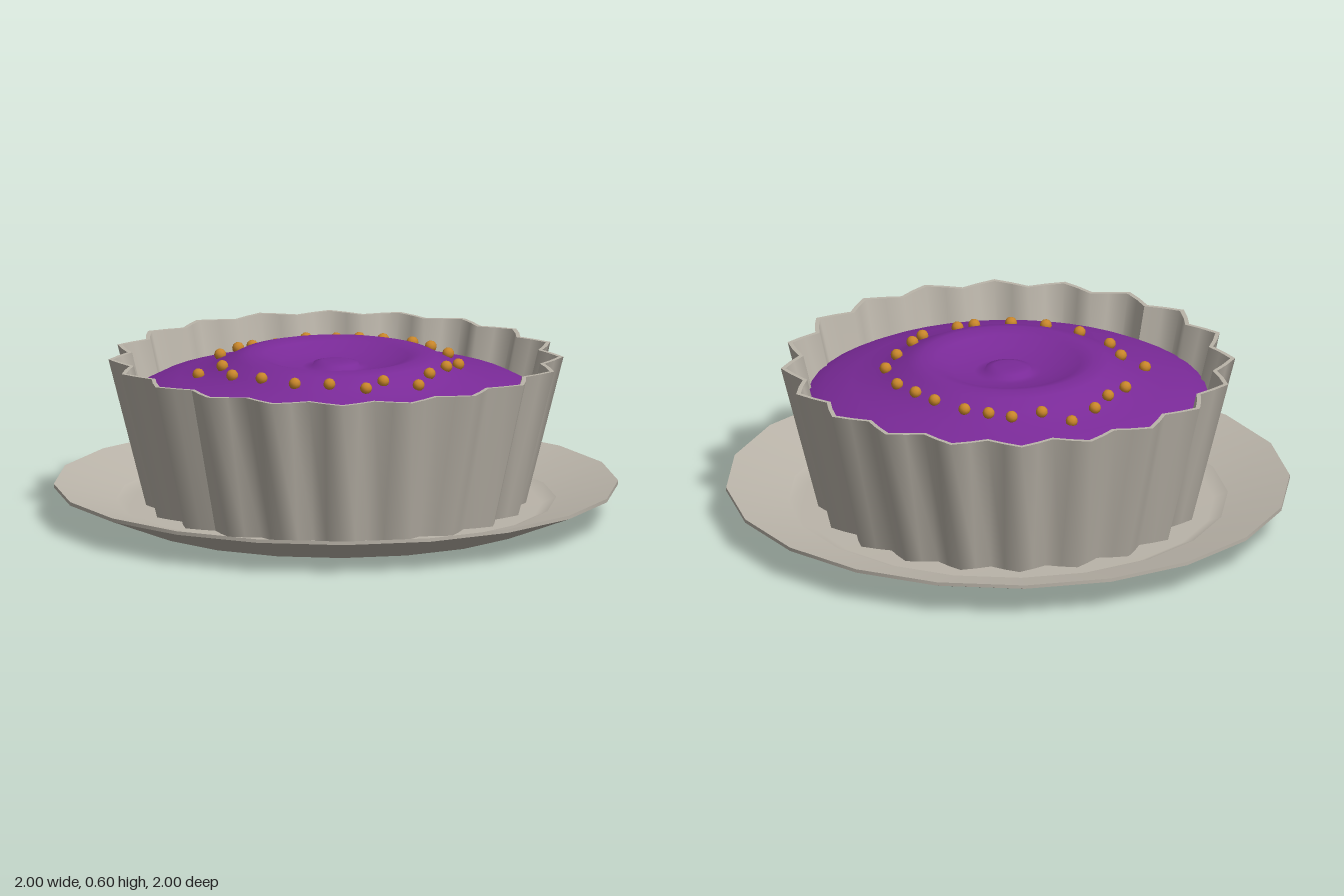
import * as THREE from 'three';

const metal = new THREE.MeshStandardMaterial({ color: 0xbab4a9 });
metal.name = 'warm grey metal';
const purple = new THREE.MeshStandardMaterial({ color: 0x7a2a98 });
purple.name = 'purple filling';
const amber = new THREE.MeshStandardMaterial({ color: 0xc8862a });
amber.name = 'amber beads';

// Revolve [radius, height] points; a repeated point makes a sharp edge.
function lathe(points, sides, start = 0) {
  return new THREE.LatheGeometry(points.map(([r, y]) => new THREE.Vector2(r, y)), sides, start);
}

function part(name, geometry, material) {
  const mesh = new THREE.Mesh(geometry, material);
  mesh.name = name;
  return mesh;
}

// Shallow twenty-sided plate with a thin rim
function makePlate() {
  const R = 1.0125;
  return part('plate', lathe([
    [0, 0], [0.3, 0], [0.75, 0.008], [0.75, 0.008],
    [R, 0.112], [R, 0.112], [R, 0.125], [R, 0.125],
    [0.79, 0.066], [0.79, 0.066], [0.74, 0.045], [0, 0.045],
  ], 20, Math.PI / 20), metal);
}

// Flared tin whose wall is pressed into twenty pleats
function makeTin() {
  const geometry = lathe([
    [0, 0.045], [0.655, 0.045], [0.655, 0.045],
    [0.785, 0.58], [0.785, 0.58], [0.768, 0.58], [0.768, 0.58],
    [0.64, 0.07], [0.64, 0.07], [0, 0.07],
  ], 80);
  const p = geometry.attributes.position;
  for (let i = 0; i < p.count; i++) {
    const x = p.getX(i), z = p.getZ(i);
    const f = 1 - 0.04 * Math.cos(20 * Math.atan2(x, z));
    p.setX(i, x * f);
    p.setZ(i, z * f);
  }
  geometry.computeVertexNormals();
  return part('flutedTin', geometry, metal);
}

// Domed filling with a raised ring, a hollow and a small centre button
function makeFilling() {
  return part('filling', lathe([
    [0.64, 0.3], [0.718, 0.455], [0.718, 0.455], [0.66, 0.485], [0.56, 0.512],
    [0.48, 0.53], [0.42, 0.557], [0.36, 0.588], [0.31, 0.6], [0.26, 0.588],
    [0.2, 0.562], [0.12, 0.55], [0.087, 0.55], [0.08, 0.565], [0.05, 0.573], [0, 0.572],
  ], 48), purple);
}

// Uneven ring of little beads, as x, z pairs
const BEADS = [
  [-0.02, -0.42], [0.08, -0.41], [0.19, -0.385], [0.33, -0.29], [0.365, -0.19],
  [0.405, -0.06], [0.45, 0.045], [0.375, 0.15], [0.37, 0.235], [0.265, 0.315],
  [0.16, 0.385], [0.02, 0.41], [-0.12, 0.415], [-0.235, 0.345], [-0.315, 0.385],
  [-0.425, 0.155], [-0.44, 0.045], [-0.465, -0.055], [-0.465, -0.18], [-0.37, -0.235],
  [-0.31, -0.33], [-0.235, -0.37], [-0.15, -0.405],
];

function makeBeads() {
  const group = new THREE.Group();
  group.name = 'beadRing';
  const geometry = new THREE.IcosahedronGeometry(0.022, 1);
  for (const [x, z] of BEADS) {
    const bead = part('bead', geometry, amber);
    // Rest on the sloping shoulder of the raised ring
    const y = 0.557 - (Math.hypot(x, z) - 0.42) * 0.45 + 0.012;
    bead.position.set(x, Math.min(y, 0.575), z);
    group.add(bead);
  }
  return group;
}

export function createModel() {
  const model = new THREE.Group();
  model.name = 'filledTart';
  model.add(makePlate(), makeTin(), makeFilling(), makeBeads());
  return model;
}
